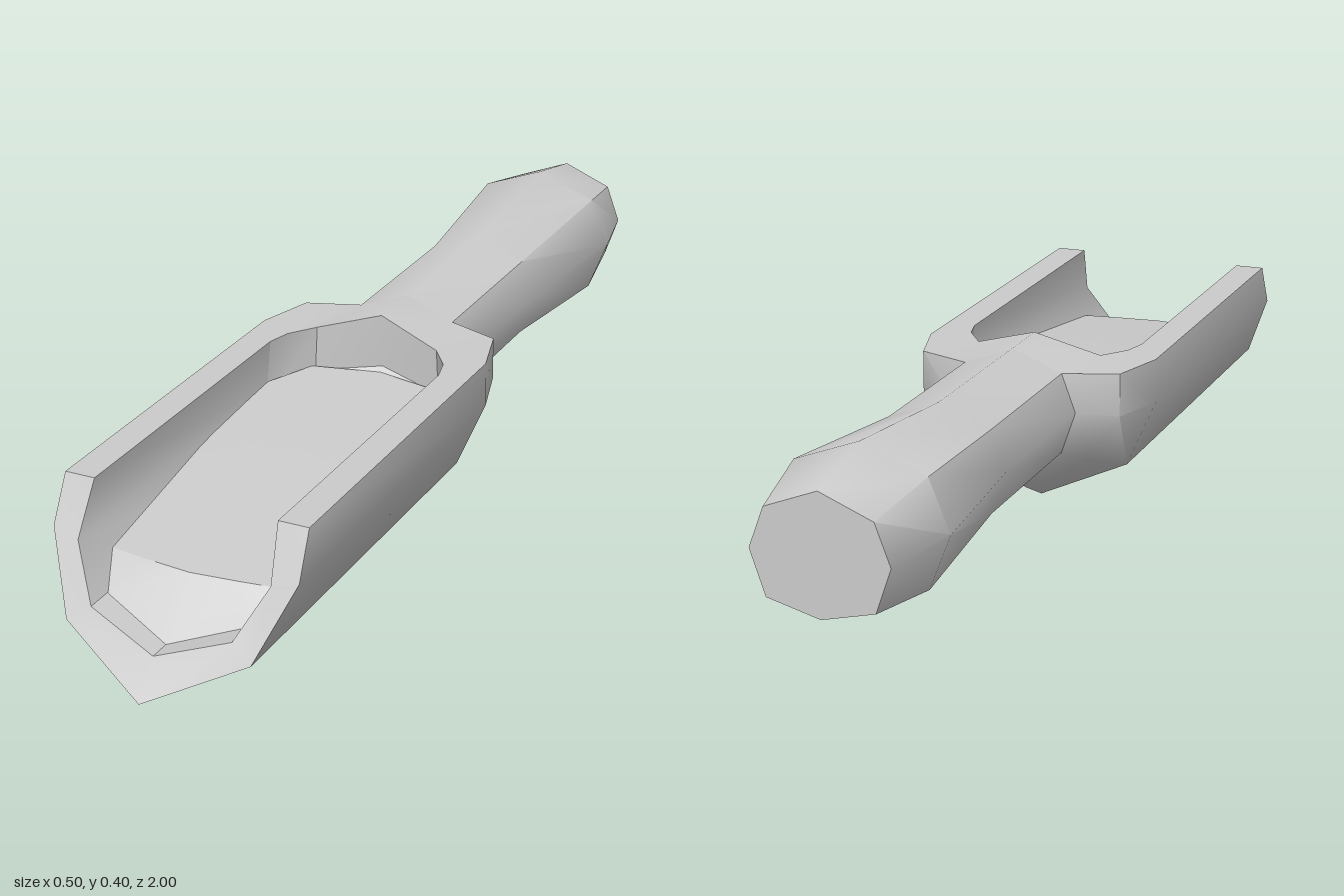
import * as THREE from 'three';
import { toCreasedNormals } from 'three/addons/utils/BufferGeometryUtils.js';

const material = new THREE.MeshStandardMaterial({ color: 0xcccccc, side: THREE.DoubleSide });

// Mirrors a half row (starting on the x = 0 plane) into a full row from -x to +x
const mirror = (half) => [
  ...half.slice(1).reverse().map(([x, y, z]) => [-x, y, z]),
  ...half,
];

// Skins a surface through successive half rows
function loft(name, halves, crease) {
  const rows = halves.map(mirror);
  const positions = [];
  for (let r = 0; r < rows.length - 1; r++) {
    for (let i = 0; i < rows[r].length - 1; i++) {
      const a = rows[r][i], b = rows[r][i + 1];
      const c = rows[r + 1][i + 1], d = rows[r + 1][i];
      positions.push(...a, ...b, ...c, ...a, ...c, ...d);
    }
  }
  const geometry = new THREE.BufferGeometry();
  geometry.setAttribute('position', new THREE.Float32BufferAttribute(positions, 3));
  const mesh = new THREE.Mesh(toCreasedNormals(geometry, crease), material);
  mesh.name = name;
  return mesh;
}

// Octagonal handle section, keel to ridge
const handleRing = (z, big) => (big
  ? [[0, 0.095], [0.13, 0.14], [0.172, 0.25], [0.13, 0.352], [0, 0.402]]
  : [[0, 0.13], [0.105, 0.157], [0.135, 0.245], [0.105, 0.325], [0, 0.367]]
).map(([x, y]) => [x, y, z]);

export function createModel() {
  const group = new THREE.Group();
  group.name = 'scoop';

  // Handle: closed end, swollen grip, straight neck
  group.add(loft('handle', [
    Array(5).fill([0, 0.25, -1]),
    handleRing(-1), handleRing(-0.83, true), handleRing(-0.48), handleRing(-0.11),
  ], 0.8));

  // Outer shell of the bowl, back to slanted mouth
  const mouthOuter = [[0, 0, 1], [0.19, 0.09, 0.93], [0.252, 0.235, 0.86], [0.25, 0.325, 0.815]];
  group.add(loft('bowlShell', [
    handleRing(-0.11).slice(0, 4),
    [[0, 0.045, -0.04], [0.145, 0.13, -0.06], [0.215, 0.235, -0.07], [0.215, 0.325, -0.07]],
    mouthOuter.map(([x, y]) => [x, y, 0.05]),
    mouthOuter,
  ], 0.9));

  // Inner channel and the lip at the mouth
  const mouthInner = [[0, 0.07, 0.945], [0.145, 0.12, 0.915], [0.198, 0.22, 0.865], [0.188, 0.325, 0.815]];
  group.add(loft('bowlLining', [mouthInner, mouthInner.map(([x, y]) => [x, y, 0.14])], 0.6));
  group.add(loft('mouthLip', [mouthOuter, mouthInner], 0.3));

  // Curved wall closing the back of the channel
  const rimInner = [[0, 0.367, 0.01], [0.135, 0.325, 0.035], [0.175, 0.325, 0.09], [0.188, 0.325, 0.14]];
  group.add(loft('bowlBackWall', [
    [[0, 0.225, 0.03], [0.13, 0.205, 0.06], [0.17, 0.19, 0.11], [0.185, 0.18, 0.14]],
    [[0, 0.252, 0.005], [0.14, 0.228, 0.035], [0.185, 0.222, 0.09], [0.198, 0.22, 0.14]],
    rimInner,
  ], 0.6));

  // Flat top rim, rising to the handle ridge at the back
  group.add(loft('rim', [
    [...rimInner, [0.188, 0.325, 0.815]],
    [[0, 0.367, -0.11], [0.105, 0.325, -0.11], [0.215, 0.325, -0.07], [0.25, 0.325, 0.05], [0.25, 0.325, 0.815]],
  ], 0.8));

  // Sloping floor inside the bowl with a bevelled front
  group.add(loft('bowlFloor', [
    [[0, 0.07, 0.9], [0.143, 0.12, 0.86], [0.173, 0.173, 0.79]],
    [[0, 0.173, 0.81], [0.1, 0.173, 0.8], [0.173, 0.173, 0.79]],
    [[0, 0.213, 0.42], [0.12, 0.213, 0.42], [0.196, 0.213, 0.42]],
    [[0, 0.242, 0.015], [0.145, 0.238, 0.04], [0.198, 0.232, 0.14]],
  ], 0.5));

  return group;
}
